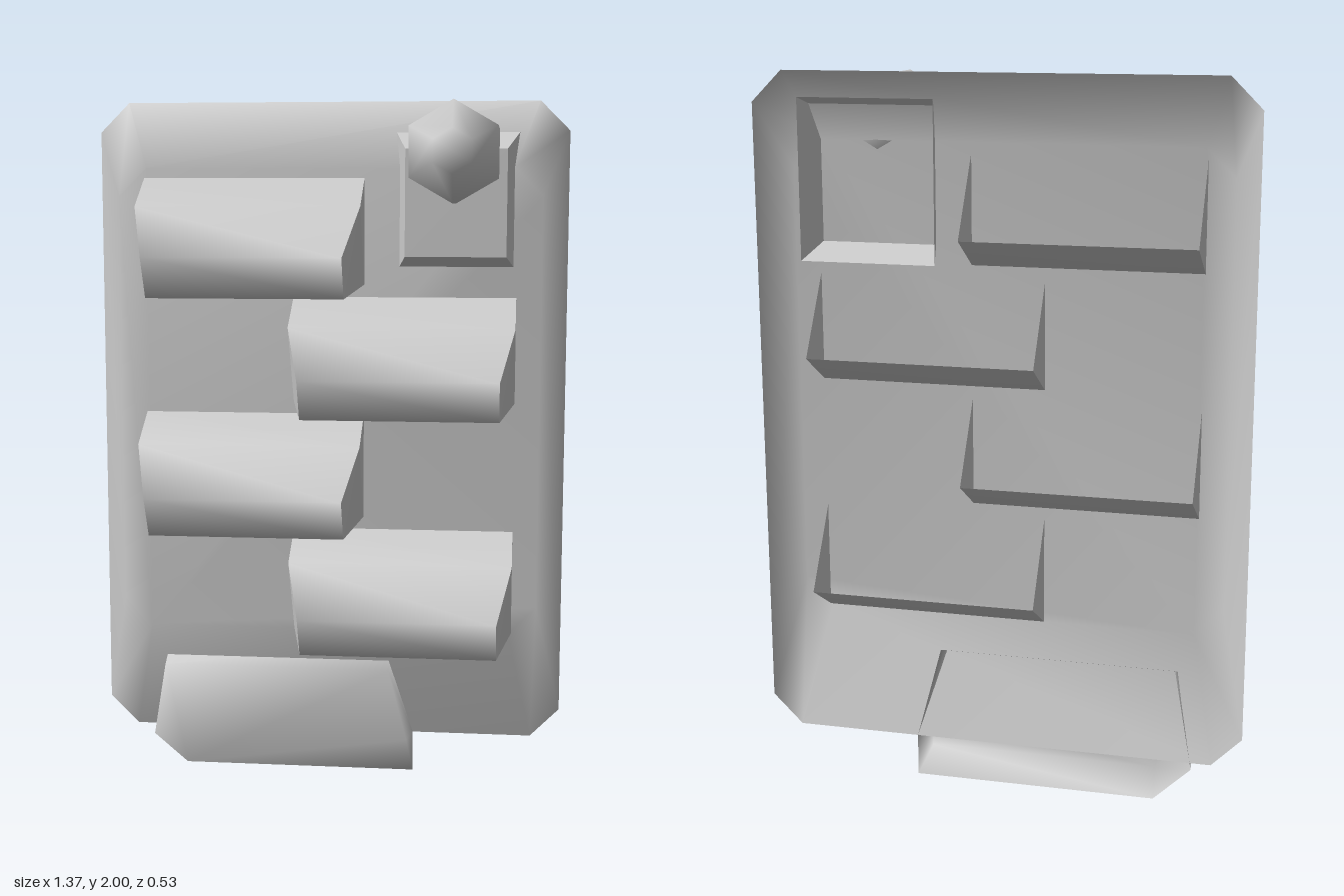
import * as THREE from 'three';

const material = new THREE.MeshStandardMaterial({ color: 0xcccccc, side: THREE.DoubleSide });

function surface(points, index, flat) {
  let g = new THREE.BufferGeometry();
  g.setAttribute('position', new THREE.Float32BufferAttribute(points.flat(), 3));
  g.setIndex(index);
  if (flat) g = g.toNonIndexed();
  g.computeVertexNormals();
  return g;
}

function mesh(name, geometry) {
  const m = new THREE.Mesh(geometry, material);
  m.name = name;
  return m;
}

// Open-backed shell: back outline, front outline (both counterclockwise) and a front face
function shell(back, zBack, front, zFront, flat) {
  const n = back.length;
  const points = [...back.map(([x, y]) => [x, y, zBack]), ...front.map(([x, y]) => [x, y, zFront])];
  const index = [];
  for (let i = 0; i < n; i++) {
    const j = (i + 1) % n;
    index.push(i, j, n + j, i, n + j, n + i);
    if (i > 0 && i < n - 1) index.push(n, n + i, n + i + 1);
  }
  return surface(points, index, flat);
}

// Rectangle outline with clipped corners
function clipped(w, y0, y1, c) {
  return [
    [-w + c, y0], [w - c, y0], [w, y0 + c], [w, y1 - c],
    [w - c, y1], [-w + c, y1], [-w, y1 - c], [-w, y0 + c],
  ];
}

const rect = (x0, x1, y0, y1) => [[x0, y0], [x1, y0], [x1, y1], [x0, y1]];

// Angled paddle, open at the upper rear; profile entries are [y, z, half width]
function paddle() {
  const profile = [
    [0.335, -0.122, 0.32], [0.255, 0.01, 0.32], [0.115, 0.132, 0.28],
    [0, 0.07, 0.28], [0.032, -0.122, 0.32], [0.117, -0.264, 0.32],
  ];
  const n = profile.length;
  const points = [-1, 1].flatMap(s => profile.map(([y, z, w]) => [s * w, y, z]));
  const strip = [], ends = [];
  for (let i = 0; i < n - 1; i++) strip.push(i, i + 1, n + i + 1, i, n + i + 1, n + i);
  // End fans start at the shoulder, where the taper folds
  for (const [a, b] of [[2, 3], [3, 4], [4, 5], [5, 0]]) {
    ends.push(1, b, a, n + 1, n + a, n + b);
  }
  const g = new THREE.Group();
  g.add(mesh('paddleFace', surface(points, strip, false)));
  g.add(mesh('paddleEnds', surface(points, ends, true)));
  return g;
}

export function createModel() {
  const model = new THREE.Group();
  model.name = 'switchPanel';

  // Bevelled backing plate
  model.add(mesh('plate', shell(
    clipped(0.685, 0.12, 2, 0.085), -0.226,
    clipped(0.61, 0.46, 1.81, 0.08), -0.122, false)));

  // Staggered paddles
  for (let i = 0; i < 4; i++) {
    const p = paddle();
    p.name = 'paddle' + (i + 1);
    p.position.set(i % 2 ? 0.219 : -0.216, 1.446 - i * 0.339, 0);
    model.add(p);
  }

  // Raised knob mount
  model.add(mesh('knobMount', shell(
    rect(0.178, 0.556, 1.49, 1.93), -0.232,
    rect(0.225, 0.51, 1.56, 1.86), -0.04, true)));

  // Six-sided knob with tapered ends
  const profile = [[0, -0.124], [0.06, -0.122], [0.137, -0.06], [0.137, 0.195], [0.06, 0.267], [0, 0.267]]
    .map(([r, z]) => new THREE.Vector2(r, z));
  const knob = mesh('knob', new THREE.LatheGeometry(profile, 6).rotateX(Math.PI / 2));
  knob.position.set(0.368, 1.846, 0);
  model.add(knob);

  // Lopsided cover at the foot of the plate
  model.add(mesh('lowerCover', shell(
    [[-0.44, 0], [0.247, 0], [0.247, 0.12], [0.175, 0.39], [-0.495, 0.39], [-0.545, 0.1]], -0.226,
    [[-0.425, 0.04], [0.235, 0.04], [0.235, 0.13], [0.18, 0.34], [-0.49, 0.34], [-0.525, 0.125]], -0.108, false)));

  return model;
}
